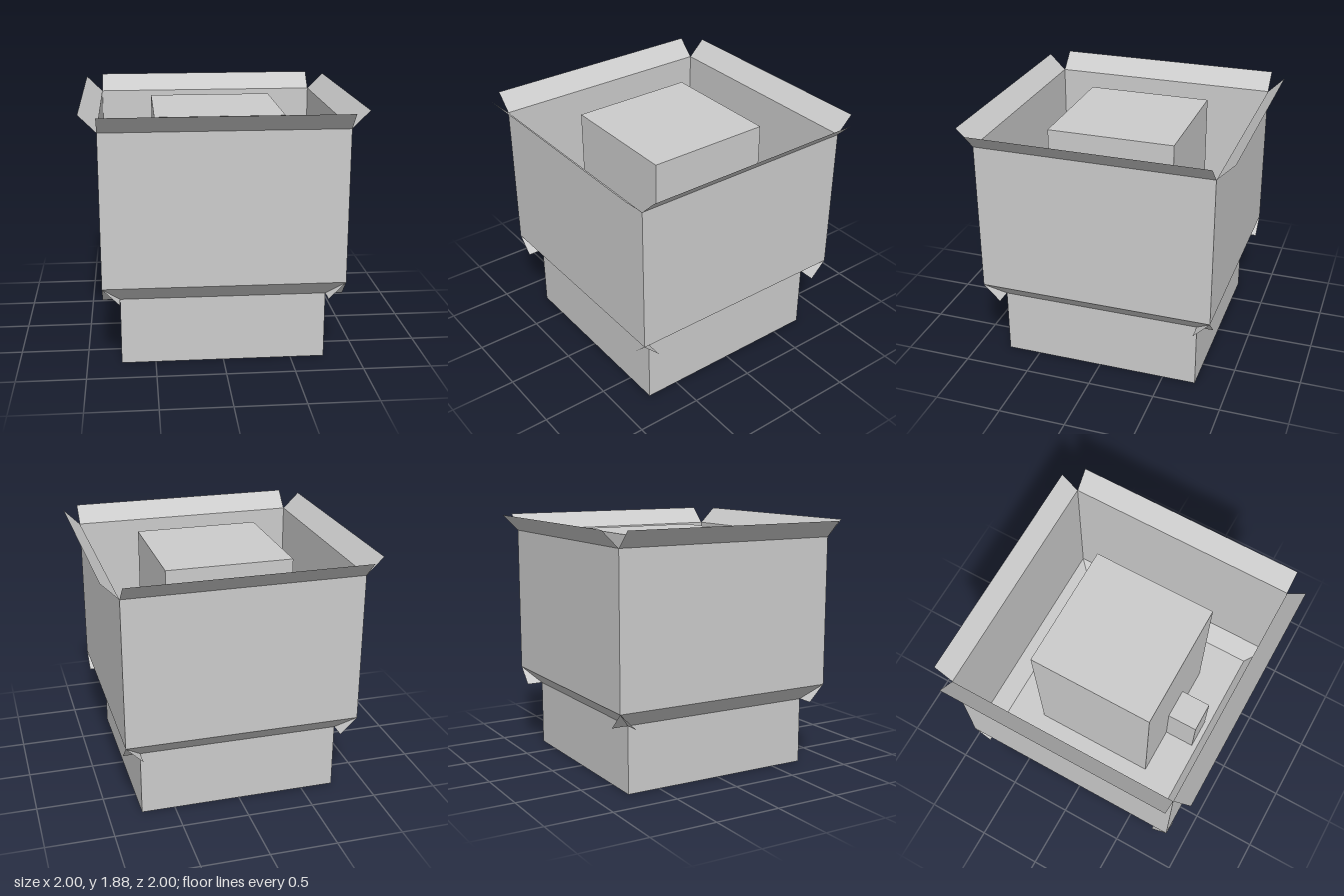
import * as THREE from 'three';

const material = new THREE.MeshStandardMaterial({ color: 0xcccccc, flatShading: true });
const thinMaterial = new THREE.MeshStandardMaterial({ color: 0xcccccc, flatShading: true, side: THREE.DoubleSide });

const WIDTH = 1.75;            // outer width of the walls
const FLAP = 0.125;            // rise and run of every flap
const WALL_BOTTOM = 0.625, WALL_TOP = 1.75;

function box(name, w, d, y0, y1, z = 0) {
  const mesh = new THREE.Mesh(new THREE.BoxGeometry(w, y1 - y0, d), material);
  mesh.name = name;
  mesh.position.set(0, (y0 + y1) / 2, z);
  return mesh;
}

function panel(name, height, y, z, tilt = 0) {
  const mesh = new THREE.Mesh(new THREE.PlaneGeometry(WIDTH, height), thinMaterial);
  mesh.name = name;
  mesh.position.set(0, y, z);
  mesh.rotation.x = tilt;
  return mesh;
}

export function createModel() {
  const group = new THREE.Group();
  group.name = 'openCrate';

  // Solid plinth
  group.add(box('base', 1.5, 1.5, 0, 0.5));

  // Four thin walls, each with an outward top flap and an inward bottom flap
  const half = WIDTH / 2, slope = FLAP * Math.SQRT2;
  ['front', 'left', 'back', 'right'].forEach((label, i) => {
    const side = new THREE.Group();
    side.name = label + 'Side';
    side.add(
      panel('wall', WALL_TOP - WALL_BOTTOM, (WALL_TOP + WALL_BOTTOM) / 2, half),
      panel('topFlap', slope, WALL_TOP + FLAP / 2, half + FLAP / 2, Math.PI / 4),
      panel('bottomFlap', slope, WALL_BOTTOM - FLAP / 2, half - FLAP / 2, Math.PI / 4)
    );
    side.rotation.y = i * Math.PI / 2;
    group.add(side);
  });

  // Block standing inside, with a small block on its front
  group.add(box('innerBlock', 0.95, 0.95, 0.5, 1.775));
  group.add(box('frontBlock', 0.23, 0.235, 0.5, 0.94, 0.5925));

  return group;
}
